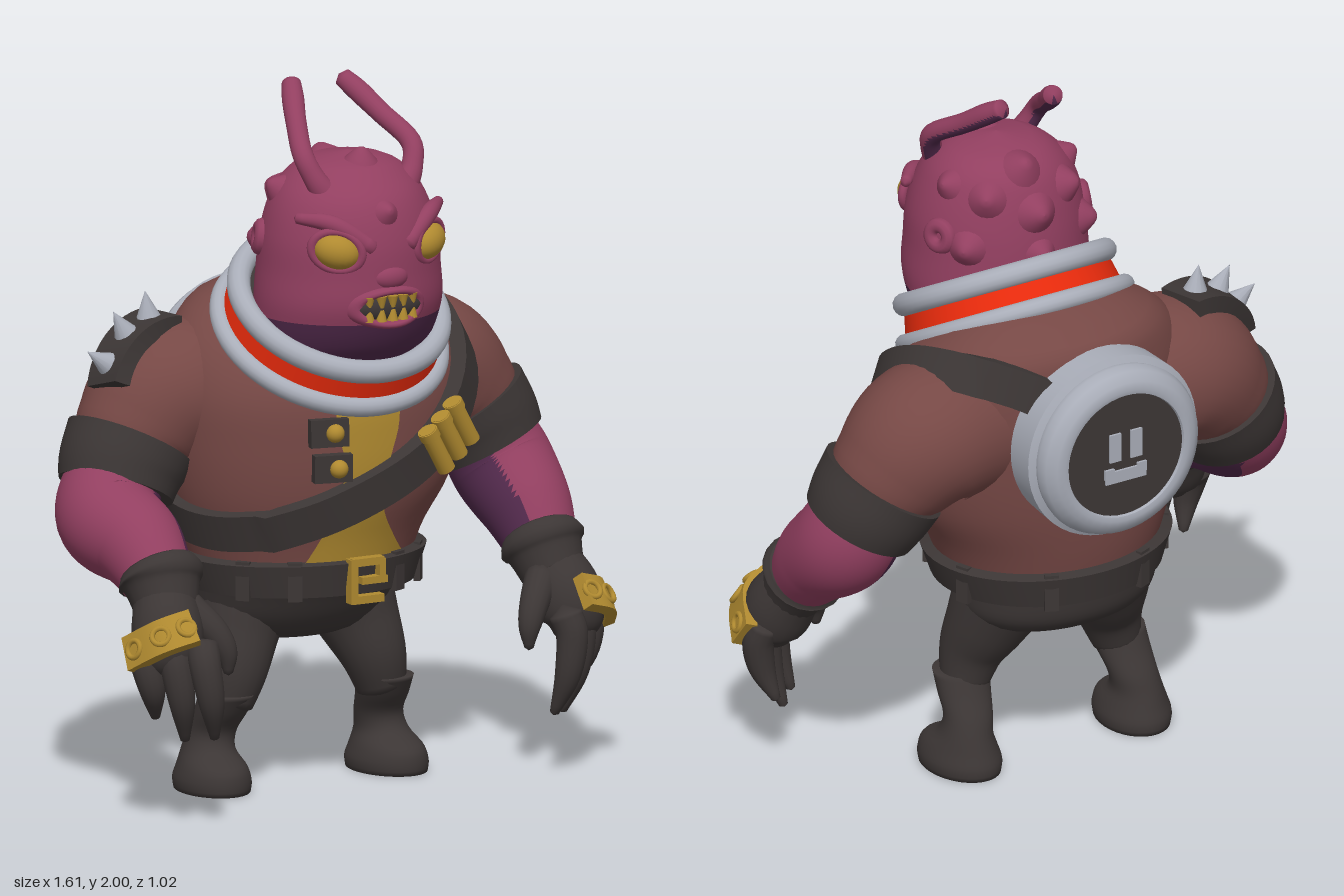
import * as THREE from 'three';
import { toCreasedNormals } from 'three/addons/utils/BufferGeometryUtils.js';

const mat = (name, color) => Object.assign(new THREE.MeshStandardMaterial({ color }), { name });
const M = {
  skin: mat('magentaSkin', 0x923f60), shade: mat('darkPurpleSkin', 0x51294b), jacket: mat('brownJacket', 0x764845),
  dark: mat('darkLeather', 0x3c3635), gold: mat('gold', 0xb08a30), red: mat('redBand', 0xe62a0c), steel: mat('paleSteel', 0xa9adb8),
};
const V = (x, y, z) => new THREE.Vector3(x, y, z);
const UP = V(0, 1, 0), FRONT = V(0, 0, 1);

// smooth interpolation of rows [key, ...values]
function at(rows, k) {
  const n = rows.length;
  let i = 0;
  while (i < n - 2 && k > rows[i + 1][0]) i++;
  const a = rows[i], b = rows[i + 1], h = b[0] - a[0], t = (k - a[0]) / h;
  const slope = (j, c) => {
    const p = rows[Math.max(j - 1, 0)], q = rows[Math.min(j + 1, n - 1)];
    return (q[c] - p[c]) / (q[0] - p[0]) * h;
  };
  return a.slice(1).map((_, j) => {
    const c = j + 1, t2 = t * t, t3 = t2 * t;
    return (2 * t3 - 3 * t2 + 1) * a[c] + (t3 - 2 * t2 + t) * slope(i, c) + (3 * t2 - 2 * t3) * b[c] + (t3 - t2) * slope(i + 1, c);
  });
}

// surface through rows of points; closed rows may be capped (bulge = cap height)
function skin(rows, closed = true, bulge = null) {
  const n = rows[0].length, pos = rows.flat().flatMap(p => [p.x, p.y, p.z]), idx = [];
  for (let j = 0; j < rows.length - 1; j++)
    for (let i = 0; i < (closed ? n : n - 1); i++) {
      const a = j * n + i, b = j * n + (i + 1) % n;
      idx.push(a, b, b + n, a, b + n, a + n);
    }
  if (bulge !== null) {
    const mean = r => r.reduce((s, p) => s.add(p), V(0, 0, 0)).divideScalar(n);
    const L = rows.length, c0 = mean(rows[0]), c1 = mean(rows[L - 1]);
    const e0 = c0.clone().sub(mean(rows[1])).normalize(), e1 = c1.clone().sub(mean(rows[L - 2])).normalize();
    c0.addScaledVector(e0, bulge * c0.distanceTo(rows[0][0]));
    c1.addScaledVector(e1, bulge * c1.distanceTo(rows[L - 1][0]));
    pos.push(c0.x, c0.y, c0.z, c1.x, c1.y, c1.z);
    for (let i = 0; i < n; i++) idx.push(n * L, (i + 1) % n, i, n * L + 1, (L - 1) * n + i, (L - 1) * n + (i + 1) % n);
  }
  const g = new THREE.BufferGeometry();
  g.setAttribute('position', new THREE.Float32BufferAttribute(pos, 3));
  g.setIndex(idx);
  g.computeVertexNormals();
  return g;
}

// round limb along points [x, y, z, radius]
function sweep(pts, bulge = 0.6, seg = 6, N = 20) {
  const rows = pts.map((p, i) => [i, ...p]), end = pts.length - 1, out = [], nor = V(0.31, 0.2, 0.93);
  const pt = k => V(...at(rows, k));
  for (let j = 0; j <= end * seg; j++) {
    const k = j / seg, T = pt(Math.min(k + 0.02, end)).sub(pt(Math.max(k - 0.02, 0))).normalize();
    nor.addScaledVector(T, -nor.dot(T)).normalize();
    const B = T.clone().cross(nor), c = pt(k), r = Math.max(at(rows, k)[3], 0.002);
    out.push(Array.from({ length: N }, (_, i) => {
      const a = i / N * Math.PI * 2;
      return c.clone().addScaledVector(nor, r * Math.cos(a)).addScaledVector(B, r * Math.sin(a));
    }));
  }
  return skin(out, true, bulge);
}

// flat band along [point, normal] pairs
function ribbon(list, width, thick, loop = false) {
  const n = list.length, get = i => list[loop ? (i + n) % n : Math.min(Math.max(i, 0), n - 1)];
  const rows = [];
  for (let i = 0; i < n + (loop ? 1 : 0); i++) {
    const [p, nn] = get(i), T = get(i + 1)[0].clone().sub(get(i - 1)[0]).normalize();
    const N = nn.clone().addScaledVector(T, -nn.dot(T)).normalize(), B = T.clone().cross(N);
    rows.push([[1, 1], [-1, 1], [-1, -1], [1, -1]].map(([u, v]) =>
      p.clone().addScaledVector(N, u * thick / 2).addScaledVector(B, v * width / 2)));
  }
  return toCreasedNormals(skin(rows, true, loop ? null : 0), 0.7);
}

// body surfaces: [y, centreX, centreZ, radiusX, radiusZ]
const TORSO = [[0.6, -0.035, -0.06, 0.31, 0.27], [0.72, -0.03, -0.06, 0.352, 0.295], [0.85, -0.01, -0.05, 0.41, 0.32],
  [1.0, 0, -0.05, 0.44, 0.33], [1.15, 0, -0.06, 0.44, 0.325], [1.28, 0, -0.095, 0.395, 0.285], [1.37, 0, -0.14, 0.3, 0.215], [1.43, 0, -0.14, 0.17, 0.1]];
const HEAD = [[1.15, 0, 0.09, 0.2, 0.14], [1.22, 0, 0.1, 0.225, 0.19], [1.29, -0.005, 0.13, 0.25, 0.23], [1.4, -0.005, 0.16, 0.265, 0.25],
  [1.5, -0.005, 0.163, 0.258, 0.25], [1.6, -0.005, 0.165, 0.248, 0.24], [1.7, -0.005, 0.16, 0.215, 0.21], [1.76, 0, 0.15, 0.17, 0.165],
  [1.8, 0, 0.15, 0.1, 0.1], [1.815, 0, 0.15, 0.001, 0.001]];
const PELVIS = [[0.4, -0.04, -0.08, 0.01, 0.01], [0.42, -0.04, -0.08, 0.17, 0.11], [0.47, -0.04, -0.1, 0.27, 0.19],
  [0.56, -0.04, -0.09, 0.305, 0.235], [0.66, -0.04, -0.06, 0.315, 0.265]];
const BOOT = [[0, 0, 0, 0.1, 0.138], [0.03, 0, 0, 0.104, 0.14], [0.07, 0, 0, 0.092, 0.125], [0.11, 0, -0.025, 0.074, 0.085],
  [0.16, -0.01, -0.025, 0.07, 0.067], [0.22, -0.022, 0.01, 0.077, 0.07], [0.275, -0.032, 0.038, 0.083, 0.074]];

function surf(body, a, y) {
  const [cx, cz, rx, rz] = at(body, y);
  return V(cx + Math.max(rx, 0.001) * Math.sin(a), y, cz + Math.max(rz, 0.001) * Math.cos(a));
}
// lifted surface point and its outward normal
function on(body, a, y, lift = 0) {
  const du = surf(body, a + 0.01, y).sub(surf(body, a - 0.01, y)), dy = surf(body, a, y + 0.004).sub(surf(body, a, y - 0.004));
  const n = du.cross(dy).normalize();
  return [surf(body, a, y).addScaledVector(n, lift), n];
}
const angleAt = (body, x, y) => { const [cx, , rx] = at(body, y); return Math.asin((x - cx) / rx); };
const loft = (body, y0, y1, rows = 24, N = 48, bulge = null) => skin(Array.from({ length: rows + 1 }, (_, j) =>
  Array.from({ length: N }, (_, i) => surf(body, i / N * Math.PI * 2, y0 + (y1 - y0) * j / rows))), true, bulge);

// two-colour geometry: triangles whose normal faces dir use the second material
function splitByFacing(geo, dir, limit) {
  const g = geo.toNonIndexed(), p = g.attributes.position, nn = g.attributes.normal, parts = [[], []], n = V(0, 0, 0), t = V(0, 0, 0);
  for (let i = 0; i < p.count; i += 3) {
    n.set(0, 0, 0);
    for (let k = 0; k < 3; k++) n.add(t.fromBufferAttribute(nn, i + k));
    parts[n.normalize().dot(dir) > limit ? 1 : 0].push(i, i + 1, i + 2);
  }
  g.setIndex(parts.flat());
  g.addGroup(0, parts[0].length, 0);
  g.addGroup(parts[0].length, parts[1].length, 1);
  return g;
}

export function createModel() {
  const root = new THREE.Group();
  const add = (name, geo, material, p = [0, 0, 0], parent = root) => {
    const m = new THREE.Mesh(geo, material);
    m.name = name;
    m.position.set(...(p.isVector3 ? p.toArray() : p));
    parent.add(m);
    return m;
  };
  const aim = (m, n, axis = FRONT) => { m.quaternion.setFromUnitVectors(axis, n.clone().normalize()); return m; };
  const ball = (r = 1) => new THREE.SphereGeometry(r, 24, 16);

  // torso, shirt front, belt
  add('jacket', loft(TORSO, 0.6, 1.43, 30, 56, 0.3), M.jacket);
  const shirt = [[0.64, -0.18, 0.18], [0.72, -0.14, 0.11], [0.82, -0.1, 0.05], [0.95, -0.08, 0.06], [1.05, -0.1, 0.09], [1.2, -0.11, 0.1]];
  add('shirtFront', skin(Array.from({ length: 25 }, (_, j) => {
    const y = 0.64 + 0.56 * j / 24, [l, r] = at(shirt, y);
    return Array.from({ length: 11 }, (_, i) => on(TORSO, angleAt(TORSO, l + (r - l) * i / 10, y), y, 0.006)[0]);
  }), false), M.gold);
  add('belt', ribbon(Array.from({ length: 56 }, (_, i) => on(TORSO, i / 56 * Math.PI * 2, 0.625, 0.014)), 0.095, 0.035, true), M.dark);
  for (const a of [-0.95, -0.5, 0.5, 0.95, 1.9, 2.7, 3.6, 4.4]) {
    const [p, n] = on(TORSO, a, 0.625, 0.026);
    aim(add('beltLoop', new THREE.BoxGeometry(0.04, 0.11, 0.018), M.dark, p), V(n.x, 0, n.z));
  }
  for (const [x, y, w, h] of [[-0.045, 0.615, 0.022, 0.125], [0, 0.668, 0.1, 0.022], [0, 0.562, 0.1, 0.022], [0.02, 0.615, 0.08, 0.02], [0.045, 0.648, 0.02, 0.05]])
    add('buckle', new THREE.BoxGeometry(w, h, 0.03), M.gold, [x, y, 0.255]);

  // shoulder strap with capsules
  const route = [[-0.68, 0.775], [-0.25, 0.83], [0.25, 0.92], [0.53, 0.99], [0.95, 1.13], [1.4, 1.26], [1.9, 1.31], [2.4, 1.3], [2.8, 1.24],
    [3.2, 1.12], [3.6, 0.98], [4.1, 0.86], [4.6, 0.79], [5.1, 0.765], [5.603, 0.775]];
  add('strap', ribbon(Array.from({ length: 72 }, (_, i) => {
    const a = -0.68 + i / 72 * Math.PI * 2;
    return on(TORSO, a, at(route, a)[0], a > 2.2 ? 0.008 : 0.02);
  }), 0.11, 0.045, true), M.dark);
  for (let i = 0; i < 3; i++) {
    const x = 0.175 + i * 0.047, y = 0.975 + i * 0.03, [p] = on(TORSO, angleAt(TORSO, x, y), y, 0.06);
    aim(add('capsule', new THREE.CylinderGeometry(0.025, 0.025, 0.14, 16), M.gold, p), V(-0.5, 0.85, 0.1), UP);
    aim(add('capsuleRim', new THREE.CylinderGeometry(0.029, 0.029, 0.025, 16), M.gold, p.clone().add(V(-0.028, 0.048, 0.006))), V(-0.5, 0.85, 0.1), UP);
  }
  for (const [x, y] of [[-0.13, 1.05], [-0.12, 0.95]]) {
    const [p, n] = on(TORSO, angleAt(TORSO, x, y), y, 0.015);
    aim(add('clasp', new THREE.BoxGeometry(0.11, 0.078, 0.03), M.dark, p), n);
    add('claspStud', ball(0.026), M.gold, p.clone().addScaledVector(n, 0.018).add(V(0.015, 0, 0)));
  }

  // back canister
  const pack = new THREE.Group();
  pack.name = 'backCanister';
  pack.position.set(-0.02, 1.09, -0.33);
  root.add(pack);
  const profile = [[0.24, 0], [0.268, 0.01], [0.272, 0.11], [0.252, 0.12], [0.256, 0.138], [0.246, 0.162], [0.222, 0.183], [0.2, 0.189], [0.187, 0.186], [0.182, 0.17]];
  add('canisterShell', toCreasedNormals(new THREE.LatheGeometry(profile.map(p => new THREE.Vector2(...p)), 48).rotateX(-Math.PI / 2), 0.8), M.steel, [0, 0, 0], pack);
  add('canisterLid', new THREE.CylinderGeometry(0.187, 0.187, 0.02, 48).rotateX(Math.PI / 2), M.dark, [0, 0, -0.168], pack);
  for (const [x, y, w, h] of [[-0.034, 0.03, 0.036, 0.085], [0.034, 0.03, 0.036, 0.085], [0, -0.06, 0.13, 0.036], [-0.052, -0.048, 0.03, 0.03], [0.052, -0.048, 0.03, 0.03]])
    add('lidSlot', new THREE.BoxGeometry(w, h, 0.008), M.steel, [x, y, -0.181], pack);

  // tilted collar
  const collar = new THREE.Group();
  collar.name = 'collar';
  collar.position.set(-0.005, 1.33, 0.085);
  collar.rotation.x = 0.54;
  root.add(collar);
  add('collarBand', new THREE.CylinderGeometry(0.29, 0.313, 0.1, 56), [M.red, M.dark, M.dark], [0, 0, 0], collar);
  for (const [r, t, y] of [[0.288, 0.033, 0.052], [0.315, 0.028, -0.054]])
    add('collarRing', new THREE.TorusGeometry(r, t, 14, 64).rotateX(Math.PI / 2), M.steel, [0, y, 0], collar);

  // head, bumps and face
  add('jaw', loft(HEAD, 1.15, 1.37, 10), M.shade);
  add('head', loft(HEAD, 1.37, 1.815, 30), M.skin);
  const bump = [[1.6, -0.7], [1.15, -0.08], [0.8, 0.28], [0.5, 0.58], [0.25, 0.75], [0, 0.8]];
  for (const [a, y, r] of [[0, 1.805, 0.04], [3.1, 1.77, 0.045], [2.5, 1.7, 0.045], [3.75, 1.69, 0.045], [3.14, 1.65, 0.05], [2.3, 1.56, 0.045],
    [4, 1.56, 0.045], [3.14, 1.53, 0.04], [1.9, 1.72, 0.035], [4.4, 1.72, 0.035], [0, 1.68, 0.03]]) {
    const [p, n] = on(HEAD, a, y);
    aim(add('headBump', new THREE.LatheGeometry(bump.map(q => new THREE.Vector2(q[0] * r, q[1] * r)), 20), M.skin, p), n, UP);
  }
  for (const s of [-1, 1]) {
    const eye = new THREE.Group();
    eye.name = 'eye';
    eye.position.set(s * 0.143 - 0.005, 1.58, 0.35);
    eye.rotation.set(0, s * 0.55, s * 0.28);
    root.add(eye);
    add('eyeball', ball(), M.gold, [0, 0, 0], eye).scale.set(0.066, 0.05, 0.048);
    add('eyelid', new THREE.TorusGeometry(0.064, 0.013, 12, 32), M.skin, [0, 0, 0.006], eye).scale.set(1.1, 0.84, 1);
    add('brow', sweep([[s * 0.225, 1.665, 0.262, 0.015], [s * 0.15, 1.652, 0.338, 0.025], [s * 0.055, 1.585, 0.388, 0.024]]), M.skin);
    const [p, n] = on(HEAD, s * 1.95, 1.58, -0.004);
    aim(add('earRing', new THREE.TorusGeometry(0.03, 0.022, 10, 24), M.skin, p), n);
    add('antenna', splitByFacing(sweep([[s * 0.12, 1.71, 0.25, 0.042], [s * 0.155, 1.765, 0.238, 0.031], [s * 0.172, 1.83, 0.2, 0.029],
      [s * 0.135, 1.895, 0.1, 0.029], [s * 0.105, 1.945, 0.03, 0.031], [s * 0.082, 1.978, -0.02, 0.027]]), V(0, -0.85, -0.53), 0.5), [M.skin, M.shade]);
  }
  add('nose', ball(), M.skin, [-0.005, 1.5, 0.395]).scale.set(0.055, 0.035, 0.032);
  add('mouth', ball(), M.dark, [-0.01, 1.418, 0.395]).scale.set(0.105, 0.042, 0.03);
  const lip = new THREE.TorusGeometry(0.1, 0.023, 12, 40).scale(1.05, 0.48, 1), lp = lip.attributes.position;
  for (let i = 0; i < lp.count; i++) lp.setZ(i, lp.getZ(i) - 3.2 * lp.getX(i) ** 2);
  lip.computeVertexNormals();
  add('lips', lip, M.skin, [-0.01, 1.418, 0.415]);
  for (let i = 0; i < 5; i++) for (const d of [-1, 1]) {
    const x = (i - 2) * 0.034;
    const t = add('tooth', new THREE.CylinderGeometry(0.008, 0.016, 0.032, 10), M.gold, [x - 0.01, 1.418 + d * 0.019, 0.42 - 2.5 * x * x]);
    if (d > 0) t.rotation.x = Math.PI;
  }

  // arms and hands: the right arm reaches further up and forward
  for (const s of [-1, 1]) {
    const P = (x, y, z, w = 1) => [s * x, y + (s < 0 ? 0.06 * w : 0), z + (s < 0 ? 0.11 * w : 0)];
    const arm = new THREE.Group();
    arm.name = s > 0 ? 'leftArm' : 'rightArm';
    root.add(arm);
    const part = (name, geo, m, p) => add(name, geo, m, p, arm);
    part('sleeve', sweep([[s * 0.22, 1.11, -0.13, 0.2], [s * 0.4, 1.105, -0.145, 0.21], [s * 0.51, 1.015, -0.135, 0.178], [s * 0.57, 0.91, -0.115, 0.13]], 0.3, 8, 32), M.jacket);
    part('armBand', toCreasedNormals(sweep([[s * 0.532, 0.99, -0.13, 0.184], [s * 0.568, 0.928, -0.118, 0.177], [s * 0.595, 0.868, -0.102, 0.163]], 0, 4, 32), 0.7), M.dark);
    const fx = s < 0 ? 0.655 : 0.625;
    const fore = sweep([[s * 0.58, 0.92, -0.12, 0.135], [s * fx, 0.81, s < 0 ? -0.04 : -0.08, 0.145], [...P(0.64, 0.71, 0.03, 0.7), 0.127], [...P(0.64, 0.6, 0.13), 0.095]], 0.2, 10, 48);
    part('forearm', splitByFacing(fore, V(-s, -0.35, 0).normalize(), 0.45), [M.skin, M.shade]);
    part('gloveCuff', sweep([[...P(0.64, 0.645, 0.1), 0.109], [...P(0.64, 0.622, 0.12), 0.122], [...P(0.642, 0.6, 0.134), 0.105], [...P(0.648, 0.54, 0.17), 0.088]], 0), M.dark);
    part('palm', sweep([[...P(0.645, 0.58, 0.145), 0.085], [...P(0.665, 0.5, 0.2), 0.1], [...P(0.675, 0.43, 0.225), 0.09], [...P(0.67, 0.38, 0.23), 0.05]]), M.dark);
    for (let i = 0; i < 3; i++) {
      const f = i / 2, x = 0.61 + 0.12 * f, z = 0.3 - 0.12 * f, len = [0.22, 0.23, 0.17][i];
      part('finger', sweep([[...P(x, 0.46, z), 0.046], [...P(x + 0.012, 0.4, z + 0.015, 1.2), 0.045], [...P(x, 0.4 - len * 0.5, z + 0.012, 1.35), 0.037],
        [...P(x - 0.025, 0.4 - len, z - 0.02, 1.4), 0.013]], 0.6, 5, 14), M.dark);
    }
    part('thumb', sweep([[...P(0.6, 0.55, 0.19), 0.05], [...P(0.545, 0.49, 0.24), 0.042], [...P(0.515, 0.43, 0.265), 0.032], [...P(0.51, 0.37, 0.27), 0.013]], 0.6, 5, 14), M.dark);
    // knuckle guard
    const hub = V(...P(0.66, 0.42, 0.2)), guard = [[0, 0.65, 0.525, 0.325], [1, 0.735, 0.495, 0.29], [2, 0.785, 0.435, 0.195]];
    const knuckle = k => { const p = V(...P(...at(guard, k))); return [p, p.clone().sub(hub).normalize()]; };
    part('knuckleGuard', ribbon(Array.from({ length: 13 }, (_, i) => knuckle(i / 6)), 0.1, 0.035), M.gold);
    for (const k of [0.3, 1, 1.7]) {
      const [p, n] = knuckle(k);
      aim(part('knuckleRing', new THREE.TorusGeometry(0.024, 0.008, 8, 20), M.gold, p.clone().addScaledVector(n, 0.018)), n);
    }

    // leg and boot
    const lx = d => -0.04 + s * d;
    add('trouserLeg', sweep([[lx(0.15), 0.56, -0.1, 0.15], [lx(0.19), 0.44, -0.06, 0.12], [lx(0.22), 0.34, -0.025, 0.095], [lx(0.245), 0.24, -0.02, 0.07]]), M.dark);
    add('boot', loft(BOOT.map(([y, x, ...r]) => [y, s * x, ...r]), 0, 0.275, 22, 32, 0), M.dark, [lx(0.278), 0, -0.05]).rotation.y = s * 0.1;
  }
  add('trousers', loft(PELVIS, 0.4, 0.66, 16, 48), M.dark);

  // spiked pad on the right shoulder
  const padAt = f => { const n = V(-Math.sin(f), Math.cos(f), 0); return [V(-0.425, 1.1, -0.165 + 0.065 * f).addScaledVector(n, 0.214), n]; };
  add('shoulderPad', ribbon(Array.from({ length: 13 }, (_, i) => padAt(-0.1 + 1.35 * i / 12)), 0.14, 0.05), M.dark);
  for (const f of [0.15, 0.55, 1]) {
    const [p, n] = padAt(f);
    aim(add('spike', new THREE.ConeGeometry(0.036, 0.08, 12), M.steel, p.clone().addScaledVector(n, 0.057)), n, UP);
  }
  return root;
}
